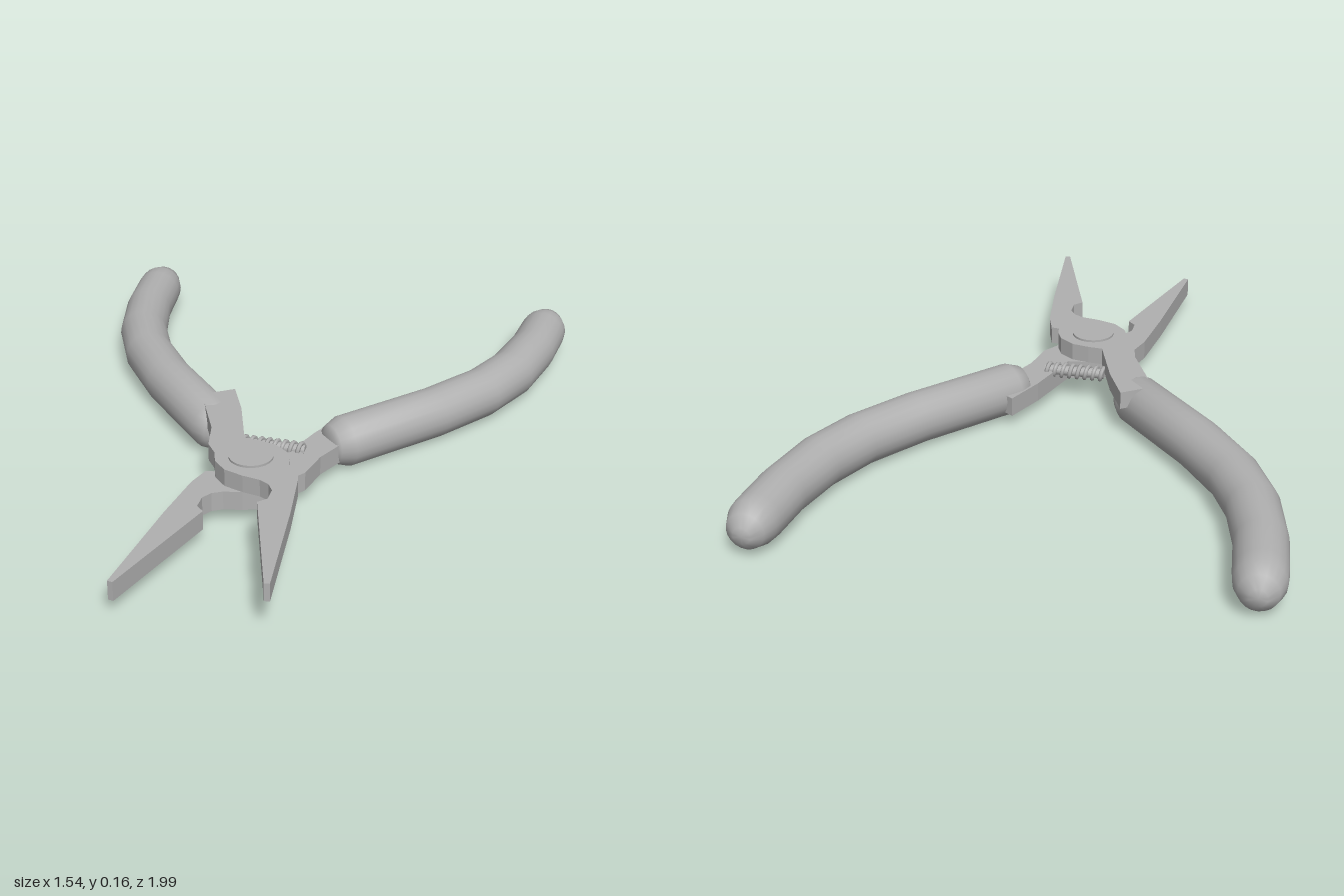
import * as THREE from 'three';
import { toCreasedNormals } from 'three/addons/utils/BufferGeometryUtils.js';

const PIVOT_Z = 0.35;

// Plate outline (x, z): shank on -x, round pivot boss, jaw on +x
function plateOutline(tipZ) {
  return [
    [-0.26, 0.0], [-0.17, -0.06], [-0.115, 0.06], [-0.055, 0.238], [-0.01, 0.243], [0.045, 0.255],
    [0.09, 0.29], [0.108, 0.33], [0.113, 0.362], [0.138, 0.366], [0.16, 0.435], [0.185, 0.62],
    [0.222, tipZ], [0.206, tipZ + 0.003], [0.08, 0.587], [0.104, 0.563], [0.104, 0.515],
    [0.085, 0.485], [0.055, 0.468], [0, 0.457], [-0.06, 0.436], [-0.1, 0.395], [-0.117, 0.345],
    [-0.148, 0.302], [-0.169, 0.2], [-0.222, 0.085],
  ];
}

function plateGeometry(side, tipZ, height) {
  const shape = new THREE.Shape(plateOutline(tipZ).map(([x, z]) => new THREE.Vector2(side * x, z)));
  const geo = new THREE.ExtrudeGeometry(shape, { depth: height, bevelEnabled: false });
  return geo.rotateX(Math.PI / 2);
}

// Round grip swept through stations [x, z, radius], with domed tip and closed mouth
function gripGeometry(side, tipZ) {
  const stations = [
    [0.7, tipZ, 0], [0.7, tipZ + 0.003, 0.026], [0.699, tipZ + 0.028, 0.056],
    [0.697, tipZ + 0.075, 0.073], [0.693, -0.87, 0.076], [0.677, -0.72, 0.077],
    [0.633, -0.535, 0.079], [0.56, -0.376, 0.079], [0.435, -0.204, 0.079],
    [0.205, 0.05, 0.079], [0.175, 0.08, 0.062], [0.168, 0.087, 0.045], [0.167, 0.088, 0],
  ].map(([x, z, r]) => ({ p: new THREE.Vector3(side * x, 0.08, z), r }));
  const sides = 20, up = new THREE.Vector3(0, 1, 0);
  const positions = [], index = [];
  stations.forEach(({ p, r }, i) => {
    const before = stations[Math.max(i - 1, 0)].p;
    const after = stations[Math.min(i + 1, stations.length - 1)].p;
    const across = up.clone().cross(after.clone().sub(before).normalize());
    for (let j = 0; j < sides; j++) {
      const a = (j / sides) * Math.PI * 2;
      const v = p.clone().addScaledVector(across, r * Math.cos(a)).addScaledVector(up, r * Math.sin(a));
      positions.push(v.x, v.y, v.z);
      if (i === stations.length - 1) continue;
      const k = i * sides + j, n = i * sides + ((j + 1) % sides);
      index.push(k, n, k + sides, n, n + sides, k + sides);
    }
  });
  const geo = new THREE.BufferGeometry();
  geo.setAttribute('position', new THREE.Float32BufferAttribute(positions, 3));
  geo.setIndex(index);
  return toCreasedNormals(geo, 0.75);
}

// Coil running along x
class Coil extends THREE.Curve {
  getPoint(t, target = new THREE.Vector3()) {
    const a = t * Math.PI * 2 * 8;
    return target.set(-0.08 + 0.2 * t, 0.1 + 0.019 * Math.sin(a), 0.17 + 0.019 * Math.cos(a));
  }
}

export function createModel() {
  const model = new THREE.Group();
  model.name = 'pliers';
  const grey = new THREE.MeshStandardMaterial({ color: 0xb0b0b0 });
  grey.name = 'grey';

  const add = (name, geometry, x = 0, y = 0, z = 0) => {
    const mesh = new THREE.Mesh(geometry, grey);
    mesh.name = name;
    mesh.position.set(x, y, z);
    model.add(mesh);
    return mesh;
  };

  // Two crossing halves, one lying on the other
  add('upperJawAndShank', plateGeometry(1, 0.977, 0.055), 0, 0.155, 0);
  add('lowerJawAndShank', plateGeometry(-1, 0.992, 0.06), 0, 0.1, 0);

  // Grips
  add('rightGrip', gripGeometry(-1, -0.995));
  add('leftGrip', gripGeometry(1, -0.98));

  // Pivot cap
  add('pivotCap', new THREE.CylinderGeometry(0.066, 0.066, 0.02, 32), -0.005, 0.152, PIVOT_Z - 0.005);

  // Return spring between the shanks
  add('spring', new THREE.TubeGeometry(new Coil(), 192, 0.007, 6));
  add('springCore', new THREE.CylinderGeometry(0.016, 0.016, 0.19, 12), 0.02, 0.1, 0.17).rotation.z = Math.PI / 2;

  return model;
}
